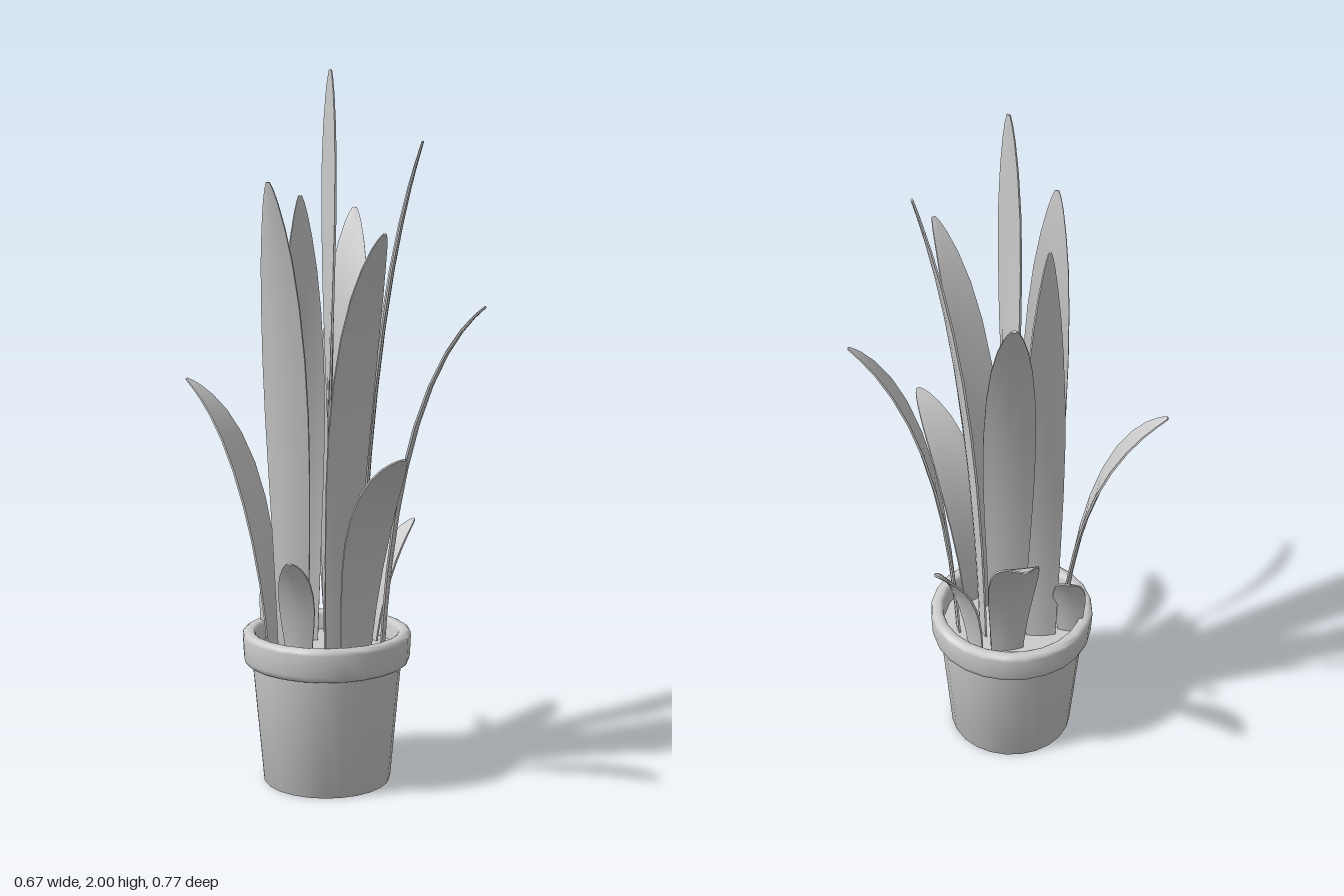
import * as THREE from 'three';
import { toCreasedNormals } from 'three/addons/utils/BufferGeometryUtils.js';

const material = new THREE.MeshStandardMaterial({ color: 0xcccccc });
const CENTRE = [-0.035, -0.05]; // pot axis in x, z
const ROOT_Y = 0.36;

// Relative blade width along its length: [t, width]
const OUTLINE = [[0, 0.66], [0.12, 0.74], [0.25, 0.83], [0.4, 0.94], [0.52, 1], [0.64, 0.99], [0.75, 0.9],
  [0.84, 0.75], [0.91, 0.55], [0.96, 0.35], [0.985, 0.21], [1, 0.09]];

// Cross-section of a blade: [across, side], side +1 is the inner face
const SECTION = [];
for (const u of [1, 0.5, 0, -0.5, -1]) SECTION.push([u, 1]);
for (const u of [-1, -0.5, 0, 0.5, 1]) SECTION.push([u, -1]);

// Blade that rises from its base, then arches out to its tip.
// face: direction (radians in x, z) the blade's back looks, at base and tip
function leafGeometry({ base, tip, width, out = 0.15, rise = 0.77, face }) {
  const [bx, bz] = base, [tx, ty, tz] = tip;
  const curve = new THREE.QuadraticBezierCurve3(
    new THREE.Vector3(bx, ROOT_Y, bz),
    new THREE.Vector3(bx + (tx - bx) * out, ROOT_Y + (ty - ROOT_Y) * rise, bz + (tz - bz) * out),
    new THREE.Vector3(tx, ty, tz));
  const outward = Math.atan2(tz - bz, tx - bx);
  const [f0, f1] = face ?? [outward, outward];
  const positions = [], index = [], n = SECTION.length;
  OUTLINE.forEach(([s, w], i) => {
    const p = curve.getPointAt(s), tangent = curve.getTangentAt(s);
    const a = THREE.MathUtils.lerp(f0, f1, s);
    const across = new THREE.Vector3(Math.sin(a), 0, -Math.cos(a));
    const normal = tangent.clone().cross(across).normalize();
    const half = w * width / 2;
    for (const [u, side] of SECTION) {
      const thick = side * (0.006 - 0.003 * u * u) * (0.5 + 0.5 * w);
      const v = p.clone().addScaledVector(across, u * half)
        .addScaledVector(normal, thick + 0.08 * half * u * u);
      positions.push(v.x, v.y, v.z);
    }
    if (i === 0) return;
    for (let j = 0; j < n; j++) {
      const k = (j + 1) % n, a0 = (i - 1) * n, a1 = i * n;
      index.push(a0 + j, a0 + k, a1 + k, a0 + j, a1 + k, a1 + j);
    }
  });
  // Close the tip
  const last = (OUTLINE.length - 1) * n;
  for (let j = 1; j < n - 1; j++) index.push(last, last + j, last + j + 1);
  const g = new THREE.BufferGeometry();
  g.setAttribute('position', new THREE.Float32BufferAttribute(positions, 3));
  g.setIndex(index);
  return toCreasedNormals(g, 0.9);
}

const LEAVES = {
  centreLeaf: { base: [-0.033, -0.03], tip: [-0.033, 2, -0.025], width: 0.128, face: [0.8, -0.05] },
  backUprightLeaf: { base: [-0.055, -0.16], tip: [-0.06, 1.66, -0.16], width: 0.13, face: [-0.9, -1.75] },
  frontTallLeaf: { base: [-0.042, 0.043], tip: [-0.055, 1.57, 0.32], width: 0.125 },
  frontLowLeaf: { base: [-0.015, 0.09], tip: [-0.03, 0.99, 0.38], width: 0.132, out: 0.12, rise: 0.79 },
  leftTallLeaf: { base: [0.055, -0.022], tip: [0.208, 1.81, 0.06], width: 0.145, rise: 0.68 },
  leftArchedLeaf: { base: [0.1, 0.035], tip: [0.333, 1.36, 0.193], width: 0.132, rise: 0.81 },
  leftSmallLeaf: { base: [0.122, -0.073], tip: [0.268, 0.725, -0.08], width: 0.092, rise: 0.74 },
  backLeftTallLeaf: { base: [0.05, -0.13], tip: [0.212, 1.62, -0.345], width: 0.14, out: 0.1, rise: 0.74 },
  backLeftLowLeaf: { base: [0.06, -0.145], tip: [0.198, 0.89, -0.383], width: 0.135 },
  backRightLeaf: { base: [-0.155, -0.145], tip: [-0.328, 1.14, -0.354], width: 0.14, rise: 0.81 },
  backSmallLeaf: { base: [-0.135, -0.195], tip: [-0.068, 0.63, -0.258], width: 0.095 },
  rightTallLeaf: { base: [-0.152, -0.028], tip: [-0.25, 1.7, 0.032], width: 0.13, rise: 0.66, face: [2.3, 2.6] },
  rightSmallLeaf: { base: [-0.165, 0.035], tip: [-0.228, 0.68, 0.108], width: 0.1 },
};

export function createModel() {
  const model = new THREE.Group();
  const add = (name, geometry) => {
    const mesh = new THREE.Mesh(geometry, material);
    mesh.name = name;
    model.add(mesh);
    return mesh;
  };

  // Tapered pot with a rounded collar and hollow mouth
  const profile = [[0, 0], [0.18, 0], [0.182, 0.004], [0.213, 0.35], [0.225, 0.346], [0.233, 0.351], [0.237, 0.364],
    [0.24, 0.424], [0.238, 0.434], [0.23, 0.44], [0.213, 0.44], [0.206, 0.436], [0.203, 0.428], [0.197, 0.36]]
    .map(([r, y]) => new THREE.Vector2(r, y));
  add('pot', toCreasedNormals(new THREE.LatheGeometry(profile, 24), 0.8))
    .position.set(CENTRE[0], 0, CENTRE[1]);

  // Soil surface
  const soil = add('soil', new THREE.CircleGeometry(0.2, 24));
  soil.rotation.x = -Math.PI / 2;
  soil.position.set(CENTRE[0], 0.385, CENTRE[1]);

  // Leaves
  for (const [name, spec] of Object.entries(LEAVES)) add(name, leafGeometry(spec));
  return model;
}
